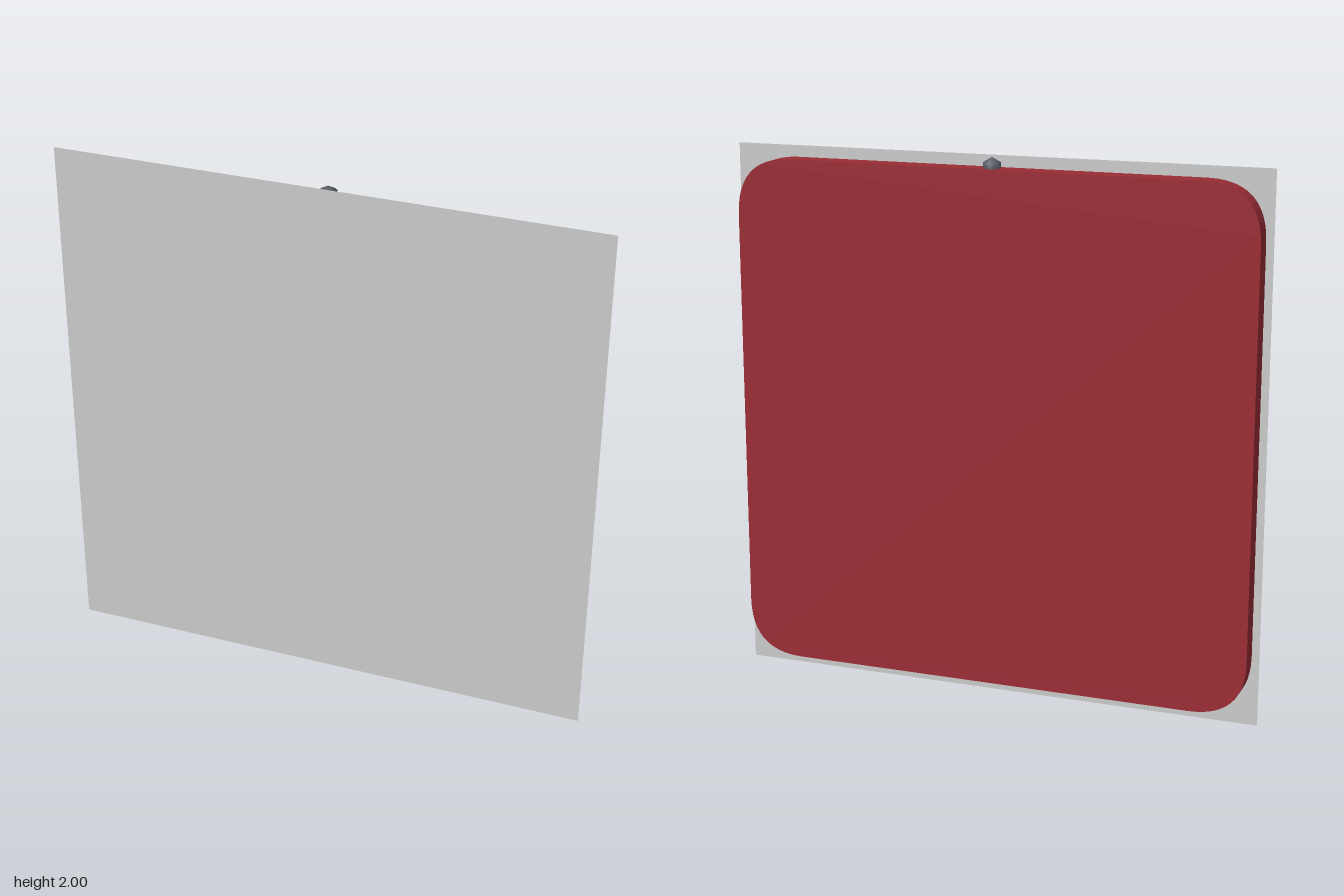
import * as THREE from 'three';

const WIDTH = 1.944, BOTTOM = 0.053, TOP = 1.958, DEPTH = 0.077, CORNER = 0.21;

// Rectangle with rounded corners
function roundedRect(x0, y0, x1, y1, r) {
  const s = new THREE.Shape();
  s.moveTo(x0 + r, y0);
  s.lineTo(x1 - r, y0);
  s.quadraticCurveTo(x1, y0, x1, y0 + r);
  s.lineTo(x1, y1 - r);
  s.quadraticCurveTo(x1, y1, x1 - r, y1);
  s.lineTo(x0 + r, y1);
  s.quadraticCurveTo(x0, y1, x0, y1 - r);
  s.lineTo(x0, y0 + r);
  s.quadraticCurveTo(x0, y0, x0 + r, y0);
  return s;
}

export function createModel() {
  const group = new THREE.Group();

  const add = (name, geometry, color, x, y, z, side = THREE.FrontSide) => {
    const mesh = new THREE.Mesh(geometry, new THREE.MeshStandardMaterial({ color, side }));
    mesh.name = name;
    mesh.position.set(x, y, z);
    group.add(mesh);
  };

  // Rounded backing board
  const outline = roundedRect(-WIDTH / 2, BOTTOM, WIDTH / 2, TOP, CORNER);
  const board = new THREE.ExtrudeGeometry(outline, { depth: DEPTH, bevelEnabled: false, curveSegments: 12 });
  add('backingBoard', board, 0x9b2d35, 0, 0, -0.039);

  // Thin square sheet across the front
  add('frontPanel', new THREE.PlaneGeometry(2, 2), 0xcccccc, 0, 1, 0.039, THREE.DoubleSide);

  // Small low-poly knob half sunk into the top edge
  add('topKnob', new THREE.SphereGeometry(0.037, 12, 3), 0x5a5c66, 0, 1.96, 0);

  return group;
}
